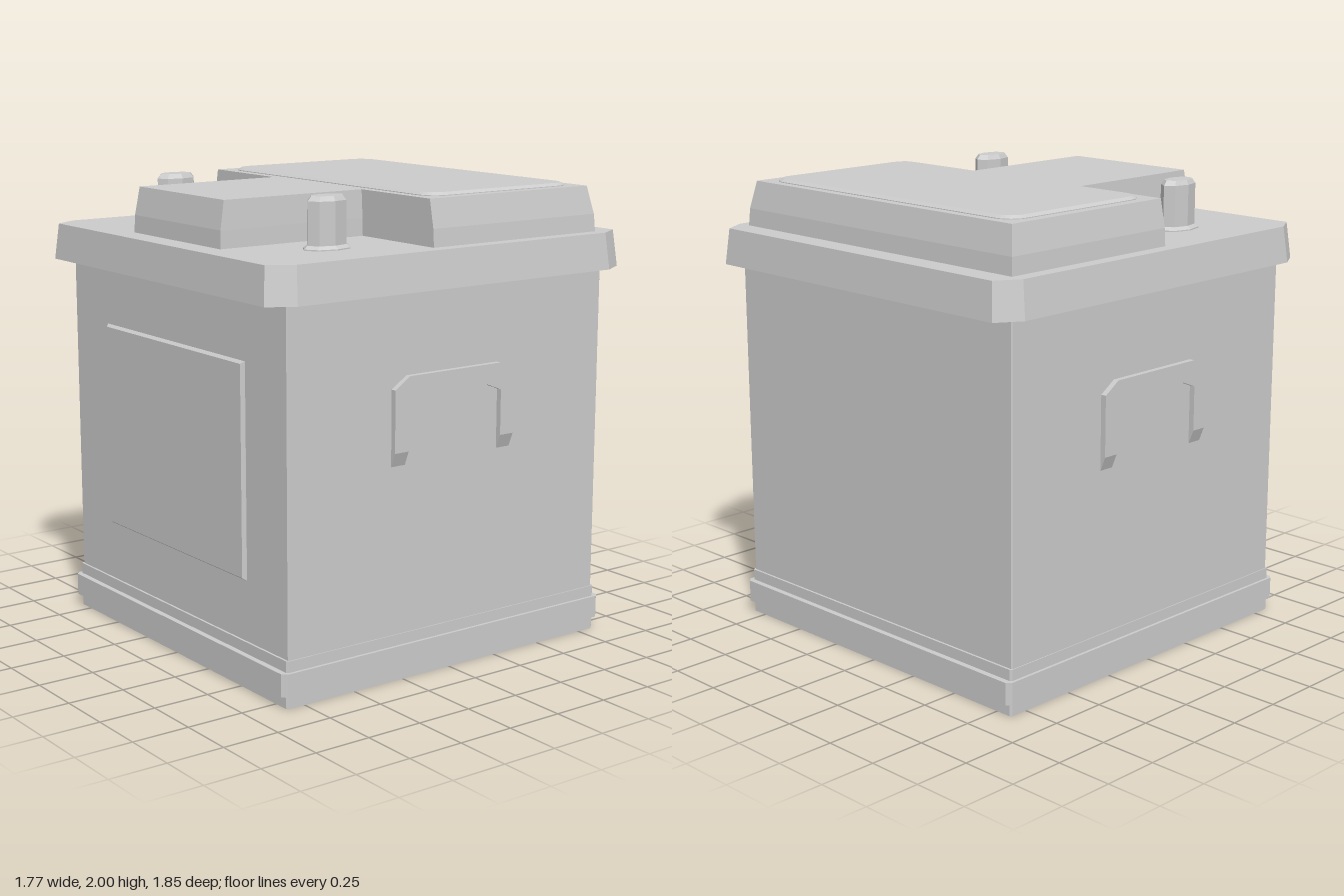
import * as THREE from 'three';

const material = new THREE.MeshStandardMaterial({ color: 0xcccccc, flatShading: true });

// Rectangle outline with cut corners (cx along x, cz along z), running from +x towards +z
function rect(hx, z0, z1, cx = 0, cz = 0) {
  if (!cx) return [[hx, z0], [hx, z1], [-hx, z1], [-hx, z0]];
  return [
    [hx, z0 + cz], [hx, z1 - cz], [hx - cx, z1], [-hx + cx, z1],
    [-hx, z1 - cz], [-hx, z0 + cz], [-hx + cx, z0], [hx - cx, z0],
  ];
}

// Rectangle outline with rounded corners
function roundRect(hx, z0, z1, r, steps = 6) {
  const corners = [[hx - r, z1 - r], [-hx + r, z1 - r], [-hx + r, z0 + r], [hx - r, z0 + r]];
  return corners.flatMap(([x, z], k) => Array.from({ length: steps + 1 }, (_, i) => {
    const a = (k + i / steps) * Math.PI / 2;
    return [x + r * Math.cos(a), z + r * Math.sin(a)];
  }));
}

function ellipse(rx, rz, sides = 8) {
  return Array.from({ length: sides }, (_, i) => {
    const a = i / sides * Math.PI * 2;
    return [rx * Math.cos(a), rz * Math.sin(a)];
  });
}

// Closed solid through horizontal outlines given as [y, outline], bottom to top
function loft(sections) {
  const rings = sections.map(([y, pts]) => pts.map(([x, z]) => new THREE.Vector3(x, y, z)));
  const n = rings[0].length;
  const tris = [];
  for (let i = 0; i < rings.length - 1; i++) {
    for (let j = 0; j < n; j++) {
      const k = (j + 1) % n, lo = rings[i], hi = rings[i + 1];
      tris.push(lo[j], hi[j], lo[k], lo[k], hi[j], hi[k]);
    }
  }
  const first = rings[0], last = rings[rings.length - 1];
  const centre = ring => ring.reduce((s, p) => s.add(p), new THREE.Vector3()).divideScalar(n);
  const c0 = centre(first), c1 = centre(last);
  for (let j = 0; j < n; j++) {
    const k = (j + 1) % n;
    tris.push(c0, first[j], first[k], c1, last[k], last[j]);
  }
  const geometry = new THREE.BufferGeometry().setFromPoints(tris);
  geometry.computeVertexNormals();
  return geometry;
}

function add(parent, name, geometry) {
  const mesh = new THREE.Mesh(geometry, material);
  mesh.name = name;
  parent.add(mesh);
  return mesh;
}

// Bracket handle standing off the +x wall, with feet that taper into it
function createHandle() {
  const handle = new THREE.Group();
  const wall = 0.82, out = 0.85, footTop = 0.975, footEnd = 0.915;
  const half = [[0.315, footTop], [0.315, 1.235], [0.24, 1.285]];
  const inner = [[0.17, 1.2], [0.245, 1.17], [0.245, footTop]];
  const mirror = pts => pts.map(([z, y]) => [-z, y]).reverse();
  const outline = [...half, ...mirror(half), ...mirror(inner), ...inner];
  const shape = new THREE.Shape(outline.map(([z, y]) => new THREE.Vector2(z, y)));
  const grip = new THREE.ExtrudeGeometry(shape, { depth: out - wall, bevelEnabled: false });
  grip.rotateY(Math.PI / 2).translate(wall, 0, 0);
  add(handle, 'handleGrip', grip);

  const wedge = new THREE.Shape([
    new THREE.Vector2(wall, footTop), new THREE.Vector2(wall, footEnd),
    new THREE.Vector2(wall + 0.006, footEnd), new THREE.Vector2(out, footTop),
  ]);
  for (const z of [0.245, -0.315]) {
    const foot = new THREE.ExtrudeGeometry(wedge, { depth: 0.07, bevelEnabled: false });
    add(handle, 'handleFoot', foot.translate(0, 0, z));
  }
  return handle;
}

export function createModel() {
  const model = new THREE.Group();
  model.name = 'battery';

  // Case with a stepped base
  const box = (hx, hz, y0, y1, c) => loft([y0, y1].map(y => [y, rect(hx, -hz, hz, c, c)]));
  add(model, 'case', box(0.825, 0.825, 0.2, 1.63, 0.006));
  add(model, 'base', box(0.829, 0.835, 0, 0.2, 0.008));
  add(model, 'baseRidge', box(0.842, 0.86, 0.055, 0.152, 0.02));

  // Overhanging lid with cut corners
  add(model, 'lid', loft([
    [1.628, rect(0.886, -0.927, 0.927, 0.066, 0.11)],
    [1.785, rect(0.866, -0.912, 0.912, 0.062, 0.105)],
  ]));

  // Raised T-shaped cover: wide back block and front tongue
  add(model, 'coverBlock', loft([
    [1.785, rect(0.805, -0.805, 0.088)],
    [1.86, rect(0.8, -0.8, 0.088)],
    [1.98, rect(0.776, -0.776, 0.088)],
  ]));
  add(model, 'coverTongue', loft([
    [1.785, rect(0.334, 0.088, 0.803)],
    [1.86, rect(0.332, 0.088, 0.8)],
    [1.98, rect(0.325, 0.088, 0.778)],
  ]));
  add(model, 'coverPlate', loft([
    [1.979, roundRect(0.73, -0.735, 0.045, 0.085)],
    [1.983, roundRect(0.73, -0.735, 0.045, 0.085)],
    [1.994, roundRect(0.714, -0.718, 0.028, 0.07)],
  ]));

  // Label panel with bevelled rim on the front wall
  const panel = loft([
    [0.82, rect(0.535, -0.452, 0.452)],
    [0.828, rect(0.535, -0.452, 0.452)],
    [0.842, rect(0.525, -0.442, 0.442)],
  ]);
  add(model, 'frontPanel', panel.rotateX(Math.PI / 2)).position.y = 0.912;

  // Terminal posts and side handles
  for (const side of [1, -1]) {
    const terminal = new THREE.Group();
    terminal.name = side > 0 ? 'leftTerminal' : 'rightTerminal';
    terminal.position.set(side * 0.568, 0, 0.447);
    add(terminal, 'terminalFlange', loft([
      [1.784, ellipse(0.074, 0.112)],
      [1.79, ellipse(0.074, 0.112)],
      [1.803, ellipse(0.06, 0.097)],
    ]));
    add(terminal, 'terminalPost', loft([
      [1.785, ellipse(0.057, 0.094)],
      [1.98, ellipse(0.057, 0.094)],
      [2, ellipse(0.046, 0.077)],
    ]));
    model.add(terminal);

    const handle = createHandle();
    handle.name = side > 0 ? 'leftHandle' : 'rightHandle';
    if (side < 0) handle.rotation.y = Math.PI;
    model.add(handle);
  }
  return model;
}
